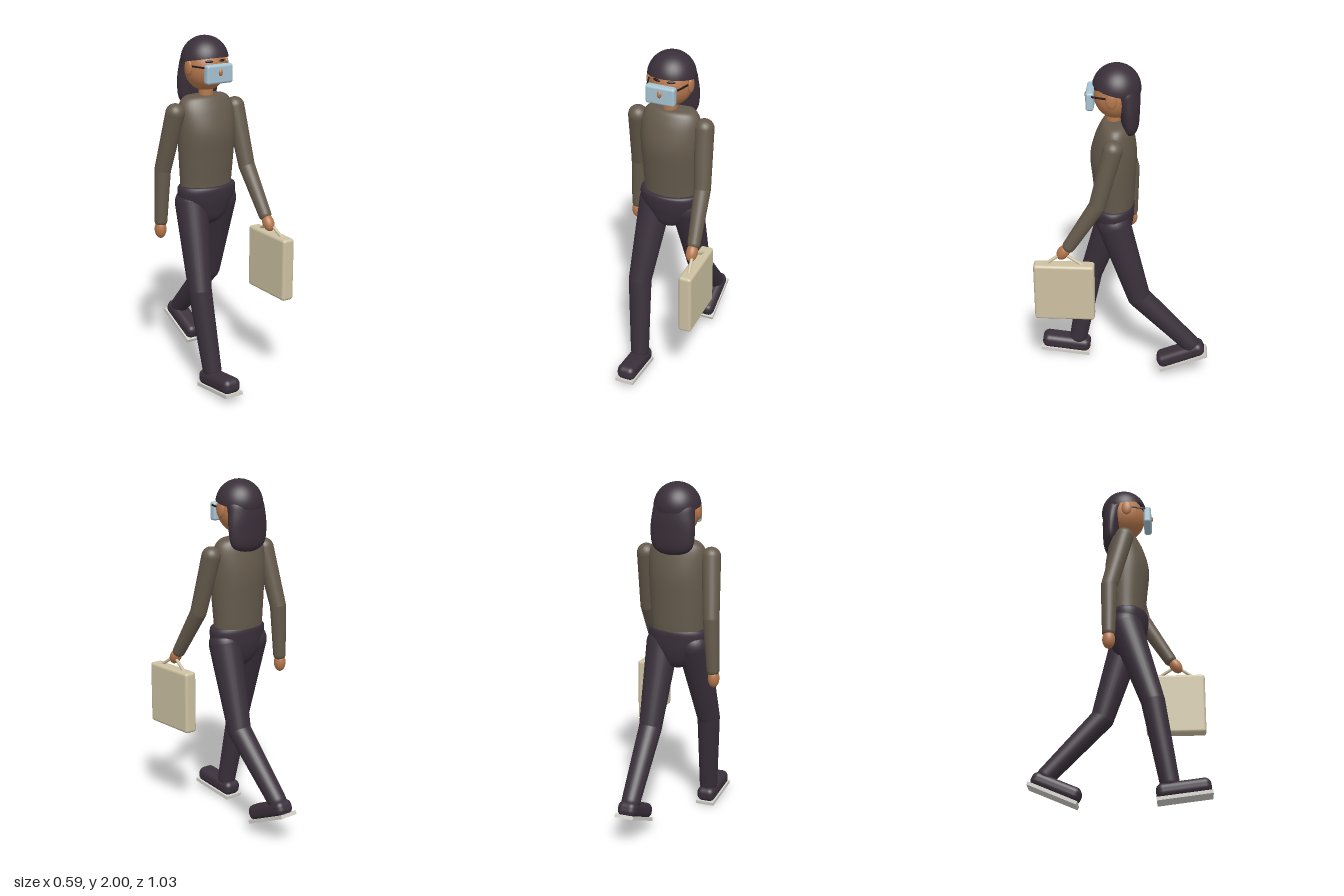
import * as THREE from 'three';
import { mergeVertices } from 'three/addons/utils/BufferGeometryUtils.js';
import { RoundedBoxGeometry } from 'three/addons/geometries/RoundedBoxGeometry.js';

const paint = (name, color) => {
  const m = new THREE.MeshStandardMaterial({ color });
  m.name = name;
  return m;
};
const V = (a) => new THREE.Vector3(...a);

// Smooth body of elliptical sections; rows are [y, radiusX, radiusZ, centreZ], going up
function loft(rows, steps = 32) {
  const size = new THREE.CatmullRomCurve3(rows.map((r) => V([r[1], r[0], r[2]])));
  const shift = new THREE.CatmullRomCurve3(rows.map((r) => V([r[3], r[0], 0])));
  const s = [], c = [];
  for (let i = 0; i <= steps; i++) {
    s.push(size.getPoint(i / steps));
    c.push(shift.getPoint(i / steps).x);
  }
  const g = new THREE.LatheGeometry(s.map((p) => new THREE.Vector2(Math.max(p.x, 0.002), p.y)), 40);
  const pos = g.attributes.position;
  for (let i = 0; i < pos.count; i++) {
    const k = i % s.length;
    pos.setZ(i, pos.getZ(i) * Math.max(s[k].z, 0.002) / Math.max(s[k].x, 0.002) + c[k]);
  }
  g.deleteAttribute('uv');
  g.deleteAttribute('normal');
  const merged = mergeVertices(g, 1e-5);
  merged.computeVertexNormals();
  return merged;
}

export function createModel() {
  const model = new THREE.Group();
  model.name = 'walkingPerson';
  const hair = paint('hair', 0x3a2f39);
  hair.side = THREE.DoubleSide;
  const trousers = paint('trousers', 0x3a303b);
  const shirt = paint('shirt', 0x655a4c);
  const skin = paint('skin', 0xb5774c);
  const visorBlue = paint('visorBlue', 0xa6c3d2);
  const cream = paint('cream', 0xcdc1a2);
  const soleGrey = paint('soleGrey', 0xd2cfc9);
  const dark = paint('dark', 0x241c20);

  const add = (name, geo, mat, pos = [0, 0, 0], parent = model) => {
    const m = new THREE.Mesh(geo, mat);
    m.name = name;
    m.position.set(...pos);
    parent.add(m);
    return m;
  };
  const ball = (name, mat, pos, radii, parent) => {
    const m = add(name, new THREE.SphereGeometry(1, 28, 20), mat, pos, parent);
    m.scale.set(...radii);
    return m;
  };
  // Jointed limb: tapered tubes with a ball at each joint
  const limb = (name, mat, joints, radii) => {
    const g = new THREE.Group();
    g.name = name;
    model.add(g);
    joints.forEach((j, i) => {
      ball(name + 'Joint', mat, j, [radii[i], radii[i], radii[i]], g);
      if (!i) return;
      const a = V(joints[i - 1]), b = V(j), d = a.clone().sub(b);
      const m = add(name + 'Segment', new THREE.CylinderGeometry(radii[i - 1], radii[i], d.length(), 28), mat,
        a.add(b).multiplyScalar(0.5).toArray(), g);
      m.quaternion.setFromUnitVectors(new THREE.Vector3(0, 1, 0), d.normalize());
    });
  };
  const cx = -0.012;

  // Torso and hips
  add('torso', loft([[1.15, 0.157, 0.108, 0.05], [1.2, 0.159, 0.112, 0.05], [1.33, 0.167, 0.122, 0.053],
    [1.47, 0.174, 0.13, 0.055], [1.58, 0.172, 0.11, 0.048], [1.635, 0.158, 0.092, 0.042],
    [1.665, 0.13, 0.075, 0.04], [1.675, 0.07, 0.045, 0.04], [1.676, 0.002, 0.002, 0.04]]), shirt, [cx, 0, 0]);
  add('hips', loft([[0.925, 0.002, 0.002, 0.05], [0.932, 0.05, 0.05, 0.05], [0.97, 0.1, 0.09, 0.055],
    [1.04, 0.155, 0.11, 0.055], [1.1, 0.178, 0.118, 0.058], [1.157, 0.174, 0.117, 0.058],
    [1.16, 0.1, 0.07, 0.058], [1.161, 0.002, 0.002, 0.058]]), trousers, [cx, 0, 0]);

  // Head
  add('neck', new THREE.CylinderGeometry(0.04, 0.042, 0.12, 24), skin, [cx - 0.003, 1.69, 0.055]);
  ball('head', skin, [cx, 1.825, 0.045], [0.12, 0.13, 0.118]);
  const cap = add('hairCap', new THREE.SphereGeometry(0.134, 36, 18, 0, Math.PI * 2, 0, Math.PI * 0.5), hair, [cx, 1.866, 0.038]);
  cap.rotation.x = -0.2;
  add('longHair', loft([[1.595, 0.002, 0.002, -0.035], [1.603, 0.06, 0.025, -0.035], [1.64, 0.115, 0.045, -0.037],
    [1.73, 0.132, 0.055, -0.034], [1.82, 0.126, 0.065, -0.025], [1.88, 0.115, 0.07, -0.01],
    [1.91, 0.06, 0.04, 0], [1.915, 0.002, 0.002, 0]]), hair, [cx, 0, 0]);
  for (const s of [-1, 1]) {
    ball('ear', skin, [cx + s * 0.12, 1.835, 0.06], [0.015, 0.046, 0.031]);
    const brow = ball('eyebrow', dark, [cx + s * 0.042, 1.872, 0.147], [0.024, 0.007, 0.008]);
    brow.rotation.y = s * 0.35;
    const arm = add('visorArm', new THREE.BoxGeometry(0.006, 0.009, 0.115), dark, [cx + s * 0.105, 1.845, 0.115]);
    arm.rotation.y = -s * 0.3;
  }
  add('visor', new RoundedBoxGeometry(0.168, 0.106, 0.045, 4, 0.014), visorBlue, [-0.015, 1.808, 0.181]);
  ball('nose', skin, [-0.015, 1.818, 0.19], [0.016, 0.024, 0.024]);

  // Arms and hands
  limb('rightArm', shirt, [[-0.212, 1.588, 0.05], [-0.246, 1.25, -0.035], [-0.26, 0.955, -0.036]], [0.055, 0.047, 0.037]);
  limb('leftArm', shirt, [[0.184, 1.583, 0.05], [0.211, 1.25, 0.135], [0.229, 0.995, 0.295]], [0.055, 0.047, 0.037]);
  ball('rightHand', skin, [-0.264, 0.905, -0.035], [0.033, 0.054, 0.036]);
  const hand = ball('leftHand', skin, [0.23, 0.955, 0.328], [0.033, 0.052, 0.034]);
  hand.rotation.x = -0.6;

  // Legs
  limb('rightLeg', trousers, [[-0.108, 1.06, 0.05], [-0.148, 0.58, 0.202], [-0.12, 0.12, 0.285]], [0.095, 0.067, 0.054]);
  limb('leftLeg', trousers, [[0.084, 1.06, 0.05], [0.103, 0.58, -0.095], [0.091, 0.24, -0.405]], [0.095, 0.067, 0.054]);

  // Shoes, each hinged at the heel
  for (const [name, pos, pitch] of [['rightShoe', [-0.12, 0.003, 0.217], -0.12], ['leftShoe', [0.091, 0.175, -0.51], 0.41]]) {
    const shoe = new THREE.Group();
    shoe.name = name;
    shoe.position.set(...pos);
    shoe.rotation.x = pitch;
    model.add(shoe);
    add('sole', new THREE.BoxGeometry(0.112, 0.02, 0.302), soleGrey, [0, 0.01, 0.151], shoe);
    add('upper', new RoundedBoxGeometry(0.112, 0.088, 0.298, 5, 0.036), trousers, [0, 0.056, 0.151], shoe);
  }

  // Briefcase with a peaked handle
  add('briefcase', new RoundedBoxGeometry(0.076, 0.364, 0.345, 4, 0.017), cream, [0.255, 0.712, 0.325]);
  const path = new THREE.CurvePath();
  const pts = [[0.255, 0.885, 0.435], [0.24, 0.945, 0.345], [0.24, 0.945, 0.315], [0.255, 0.885, 0.215]].map(V);
  for (let i = 0; i < 3; i++) path.add(new THREE.LineCurve3(pts[i], pts[i + 1]));
  add('briefcaseHandle', new THREE.TubeGeometry(path, 30, 0.009, 10), cream);

  return model;
}
